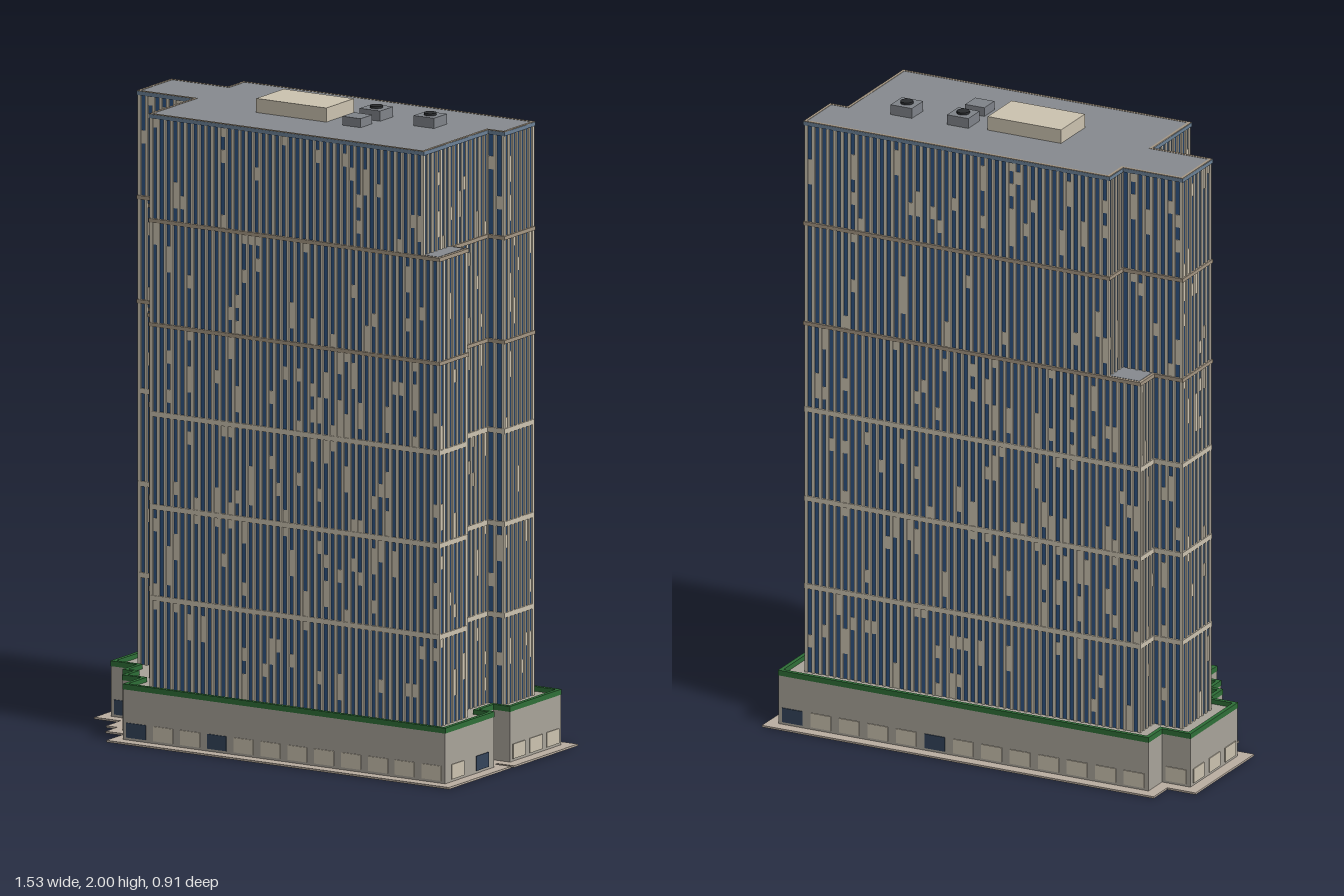
import * as THREE from 'three';
import { mergeGeometries } from 'three/addons/utils/BufferGeometryUtils.js';

// Plan outlines [u, v]; every corner is a right angle
const TOP = [[-0.43, 0.278], [0.557, 0.278], [0.557, -0.086], [0.617, -0.086], [0.617, -0.255],
  [-0.43, -0.255], [-0.43, -0.166], [-0.635, -0.166], [-0.635, 0.024], [-0.43, 0.024]];
const MID = [[-0.43, 0.278], [0.614, 0.278], [0.614, 0.12], [0.557, 0.12], [0.557, -0.086],
  [0.617, -0.086], [0.617, -0.255], [-0.43, -0.255], [-0.43, -0.166], [-0.635, -0.166],
  [-0.635, 0.024], [-0.54, 0.024], [-0.54, 0.106], [-0.43, 0.106]];
const LOW = [[-0.43, 0.278], [0.614, 0.278], [0.614, 0.12], [0.557, 0.12], [0.557, -0.086],
  [0.617, -0.086], [0.617, -0.255], [-0.537, -0.255], [-0.537, -0.166], [-0.635, -0.166],
  [-0.635, 0.024], [-0.54, 0.024], [-0.54, 0.106], [-0.5, 0.106], [-0.5, 0.172], [-0.43, 0.172]];

const mat = (color) => new THREE.MeshStandardMaterial({ color });
const blue = mat(0x2f5584), cream = mat(0xcdc4b1), trim = mat(0xa59784), roofGrey = mat(0x878b90),
  wallGrey = mat(0xaaa59b), paving = mat(0xbcb0a3), green = mat(0x2f7038), steel = mat(0x6c8298),
  dark = mat(0x34455c), unitGrey = mat(0x80848a), black = mat(0x2b2d30);

let seed = 7;
const rand = () => (seed = (seed * 16807) % 2147483647) / 2147483647;

// Wall edges with direction, outward normal and length
function edges(poly) {
  return poly.map((a, i) => {
    const b = poly[(i + 1) % poly.length];
    const len = Math.hypot(b[0] - a[0], b[1] - a[1]);
    const d = [(b[0] - a[0]) / len, (b[1] - a[1]) / len];
    return { a, d, n: [-d[1], d[0]], len };
  });
}

// Outline grown outward by r
function offset(poly, r) {
  const e = edges(poly);
  return poly.map((p, i) => {
    const m = e[(i + poly.length - 1) % poly.length].n, n = e[i].n;
    return [p[0] + (m[0] + n[0]) * r, p[1] + (m[1] + n[1]) * r];
  });
}

// Upright prism from an outline, optionally hollow
function prism(poly, y0, y1, inner) {
  const pts = (p) => p.map(([u, v]) => new THREE.Vector2(u, -v));
  const shape = new THREE.Shape(pts(poly));
  if (inner) shape.holes.push(new THREE.Path(pts(inner)));
  return new THREE.ExtrudeGeometry(shape, { depth: y1 - y0, bevelEnabled: false })
    .rotateX(-Math.PI / 2).translate(0, y0, 0);
}

// Box centred on a wall plane at distance s along the edge
function wallBox(e, s, y0, y1, w, out) {
  return new THREE.BoxGeometry(w, y1 - y0, out * 2)
    .rotateY(Math.atan2(e.n[0], e.n[1]))
    .translate(e.a[0] + e.d[0] * s, (y0 + y1) / 2, e.a[1] + e.d[1] * s);
}

export function createModel() {
  const model = new THREE.Group();
  model.name = 'officeTower';
  const add = (name, geo, material) => {
    const mesh = new THREE.Mesh(Array.isArray(geo) ? mergeGeometries(geo) : geo, material);
    mesh.name = name;
    model.add(mesh);
  };

  // Pavement, podium and hedge
  const base = offset(LOW, 0.06);
  add('pavement', prism(offset(base, 0.037), 0, 0.006), paving);
  add('podium', prism(base, 0.006, 0.165), wallGrey);
  add('hedge', prism(offset(base, 0.001), 0.163, 0.18, offset(base, -0.012)), green);

  // Street-level windows
  const lit = [], unlit = [];
  for (const e of edges(base)) {
    const n = Math.floor(e.len / 0.094);
    for (let i = 0; i < n; i++) {
      const pane = wallBox(e, (i + 0.5) * e.len / n, 0.014, 0.06, 0.07, 0.003);
      (rand() < 0.28 ? unlit : lit).push(pane);
    }
  }
  add('shopWindows', lit, cream);
  add('darkShopWindows', unlit, dark);

  // Tower in three set-back stages: glass core, piers, blinds, trim and roof
  const stages = [
    { name: 'lower', poly: LOW, y0: 0.165, y1: 1.305, floors: 28 },
    { name: 'middle', poly: MID, y0: 1.305, y1: 1.63, floors: 8 },
    { name: 'upper', poly: TOP, y0: 1.63, y1: 1.955, floors: 8 },
  ];
  for (const { name, poly, y0, y1, floors } of stages) {
    const glass = offset(poly, -0.004), piers = [], blinds = [];
    add(name + 'Glass', prism(glass, y0, y1 - 0.01), blue);
    const step = (y1 - y0) / floors;
    for (const e of edges(glass)) {
      const bays = Math.max(1, Math.round(e.len / 0.0245)), w = e.len / bays;
      for (let i = 0; i <= bays; i++) {
        piers.push(wallBox(e, i * w, y0, y1 - 0.008, 0.01, 0.005));
        if (i === bays) continue;
        for (let f = 0; f < floors; f++) {
          if (rand() > 0.07) continue;
          const tall = rand() < 0.35 && f < floors - 1 ? 2 : 1;
          const b = y0 + f * step;
          blinds.push(wallBox(e, (i + 0.5) * w, b, b + step * tall, w - 0.008, 0.002));
        }
      }
    }
    add(name + 'Piers', piers, cream);
    add(name + 'Blinds', blinds, cream);
    const top = name === 'upper';
    add(name + 'Trim', prism(offset(poly, 0.004), y1 - 0.012, y1), top ? steel : trim);
    if (top) add('parapetCap', prism(offset(poly, 0.003), y1, y1 + 0.002, offset(poly, -0.006)), trim);
    add(name + 'Roof', prism(offset(poly, -0.006), y1 - 0.002, y1 + 0.001), roofGrey);
  }

  // Horizontal spandrel bands
  add('spandrelBands', [0.445, 0.73, 1.02].map((y) => prism(offset(LOW, 0.002), y - 0.008, y + 0.008)), cream);

  // Rooftop plant room and cooling units
  add('plantRoom', new THREE.BoxGeometry(0.253, 0.046, 0.157).translate(-0.04, 1.977, 0.0115), cream);
  for (const [u, v, size, fan] of [[0.182, -0.045, 0.074, true], [0.375, -0.047, 0.074, true], [0.184, 0.067, 0.066, false]]) {
    const h = fan ? 0.034 : 0.03;
    add('coolingUnit', new THREE.BoxGeometry(size, h, size).translate(u, 1.954 + h / 2, v), unitGrey);
    if (fan) add('fan', new THREE.CylinderGeometry(0.02, 0.02, 0.008, 16).translate(u, 1.991, v), black);
  }

  model.rotation.y = 0.159;
  const root = new THREE.Group();
  root.name = 'tower';
  root.add(model);
  return root;
}
